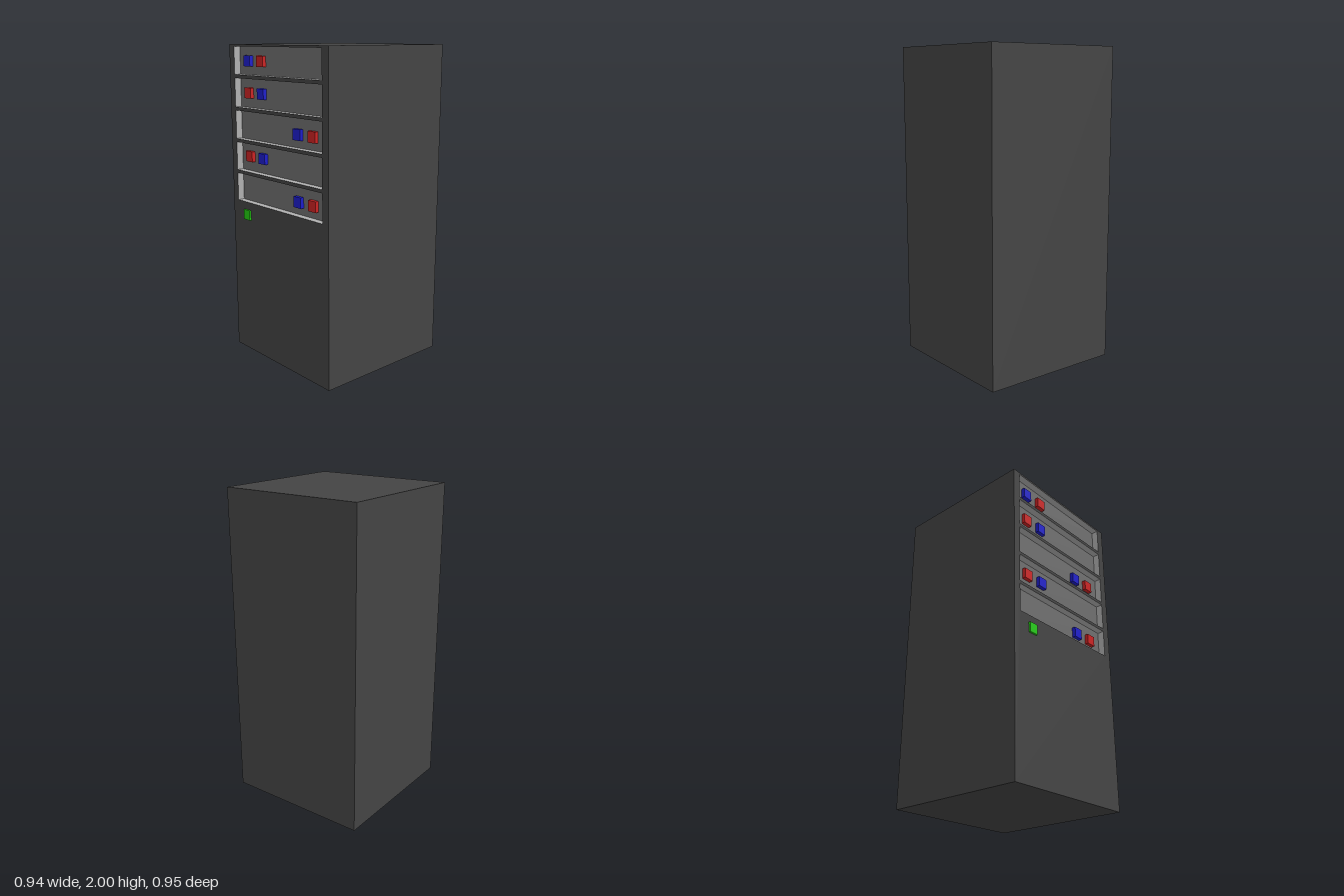
import * as THREE from 'three';

const W = 0.936, H = 2, BACK = -0.474, FRONT = 0.462;
const SLOT_W = 0.832, SLOT_X = -0.002, DEPTH = 0.046;
const BUTTON = 0.066;

const mat = (color) => new THREE.MeshStandardMaterial({ color });

// Box without its +z face
function openBox(w, h, d) {
  const geo = new THREE.BoxGeometry(w, h, d);
  geo.setIndex([...geo.index.array].filter((_, i) => i < 24 || i >= 30));
  geo.clearGroups();
  return geo;
}

// Turn a geometry inside out so that its inner walls show
function invert(geo) {
  geo.setIndex([...geo.index.array].reverse());
  const n = geo.attributes.normal;
  for (let i = 0; i < n.count; i++) n.setXYZ(i, -n.getX(i), -n.getY(i), -n.getZ(i));
  return geo;
}

function rectangle(Type, x, y, w, h) {
  const r = new Type();
  r.moveTo(x - w / 2, y - h / 2);
  r.lineTo(x + w / 2, y - h / 2);
  r.lineTo(x + w / 2, y + h / 2);
  r.lineTo(x - w / 2, y + h / 2);
  r.closePath();
  return r;
}

export function createModel() {
  const model = new THREE.Group();
  const dark = mat(0x444444), wall = mat(0xb0b0b0), panel = mat(0x6e6e6e);
  const red = mat(0xcc2222), blue = mat(0x1c1ccc), green = mat(0x22cc11);

  function add(name, geo, material, x, y, z, parent = model) {
    const mesh = new THREE.Mesh(geo, material);
    mesh.name = name;
    mesh.position.set(x, y, z);
    parent.add(mesh);
    return mesh;
  }

  // Each bay: bottom, top, button height, then buttons as [x, material]
  const bays = [
    [1.815, 1.987, 1.9, [-0.315, blue], [-0.183, red]],
    [1.613, 1.793, 1.704, [-0.315, red], [-0.183, blue]],
    [1.412, 1.592, 1.492, [0.163, blue], [0.297, red]],
    [1.211, 1.391, 1.306, [-0.315, red], [-0.183, blue]],
    [1.012, 1.19, 1.09, [0.163, blue], [0.297, red]],
  ];

  // Cabinet shell and the front face with bay openings
  add('cabinetShell', openBox(W, H, FRONT - BACK), dark, 0, H / 2, (FRONT + BACK) / 2);
  const face = rectangle(THREE.Shape, 0, H / 2, W, H);
  for (const [y0, y1] of bays) {
    face.holes.push(rectangle(THREE.Path, SLOT_X, (y0 + y1) / 2, SLOT_W, y1 - y0));
  }
  add('cabinetFront', new THREE.ShapeGeometry(face), dark, 0, 0, FRONT);

  // Recessed bays with back panel and buttons
  const buttonDepth = 0.026;
  bays.forEach(([y0, y1, buttonY, ...buttons], i) => {
    const bay = new THREE.Group();
    bay.name = `serverBay${i + 1}`;
    model.add(bay);
    const h = y1 - y0, y = (y0 + y1) / 2;
    add('bayWalls', invert(openBox(SLOT_W, h, DEPTH)), wall, SLOT_X, y, FRONT - DEPTH / 2, bay);
    add('bayPanel', new THREE.PlaneGeometry(SLOT_W, h), panel, SLOT_X, y, FRONT - DEPTH + 0.002, bay);
    for (const [x, material] of buttons) {
      add('button', new THREE.BoxGeometry(BUTTON, BUTTON, buttonDepth), material,
        x, buttonY, FRONT - DEPTH + buttonDepth / 2, bay);
    }
  });

  // Power light on the cabinet front
  add('powerLight', new THREE.BoxGeometry(0.064, 0.064, 0.024), green, -0.314, 0.931, FRONT);
  return model;
}
